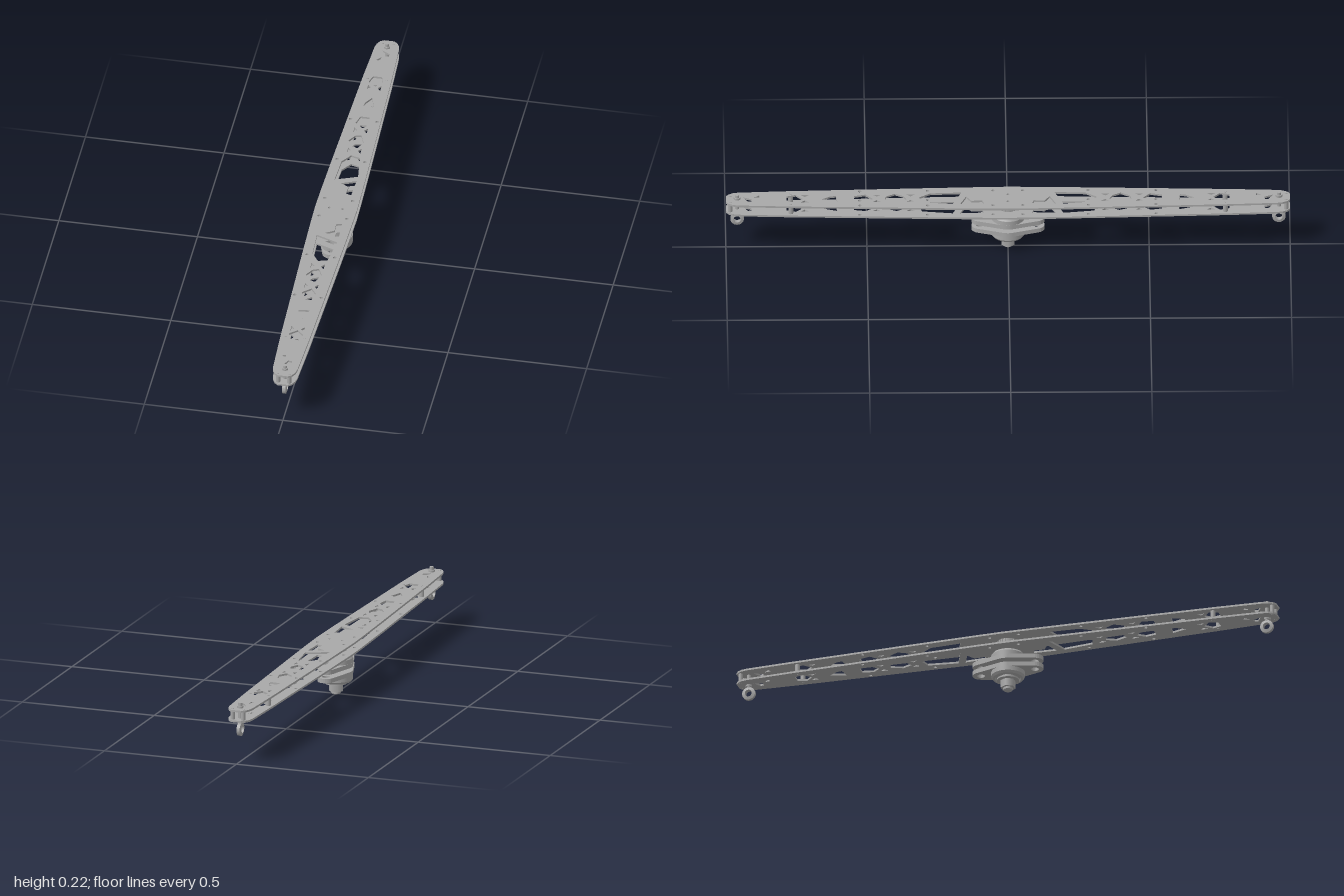
import * as THREE from 'three';

const steel = new THREE.MeshStandardMaterial({ color: 0xa8a8a8 });
steel.name = 'steel';

function add(parent, name, geo, x = 0, y = 0, z = 0) {
  const m = new THREE.Mesh(geo, steel);
  m.name = name;
  m.position.set(x, y, z);
  parent.add(m);
  return m;
}

// upright cylinder between two heights
function post(parent, name, r, y0, y1, x = 0, z = 0, sides = 24, rTop = r) {
  const geo = new THREE.CylinderGeometry(rTop, r, y1 - y0, sides);
  return add(parent, name, geo, x, (y0 + y1) / 2, z);
}

// flat shape drawn in x,z and extruded upward from y0 to y1
function slab(parent, name, shape, y0, y1) {
  const geo = new THREE.ExtrudeGeometry(shape, { depth: y1 - y0, bevelEnabled: false, curveSegments: 10 });
  geo.rotateX(Math.PI / 2);
  return add(parent, name, geo, 0, y1, 0);
}

const polygon = pts => pts.map(([x, z]) => new THREE.Vector2(x, z));
const round = (x, z, r) => new THREE.Path().absarc(x, z, r, 0, Math.PI * 2);

// half outline of the arm, from the middle to one tip
const edge = [[0.075, 0], [0.073, 0.1], [0.068, 0.28], [0.06, 0.53], [0.052, 0.78],
  [0.044, 0.955], [0.04, 0.975], [0.031, 0.991], [0.018, 1]];

// lightening cut-outs on one half
const cutouts = [
  [[-0.01, 0.148], [0.042, 0.17], [0.038, 0.085], [0.018, 0.092], [0.02, 0.13]],
  [[-0.037, 0.165], [0.042, 0.196], [0.028, 0.305], [-0.005, 0.315], [-0.032, 0.275]],
  [[0.008, 0.36], [0.024, 0.395], [0.008, 0.437], [-0.012, 0.432], [-0.031, 0.4], [-0.014, 0.37]],
  [[-0.016, 0.545], [0.016, 0.545], [0.024, 0.505], [0.004, 0.478], [-0.026, 0.505]],
  [[0.004, 0.66], [0.022, 0.605], [-0.018, 0.61], [-0.014, 0.63]],
  [[-0.016, 0.785], [0.016, 0.785], [0.026, 0.752], [0.002, 0.727], [-0.026, 0.752]],
  [[-0.012, 0.94], [0.018, 0.922], [0.016, 0.91], [0.002, 0.908]],
  [[-0.024, 0.882], [-0.008, 0.9], [-0.012, 0.877]],
];
for (const z of [0.345, 0.465, 0.72]) {
  for (const s of [-1, 1]) {
    cutouts.push([[s * 0.012, z], [s * 0.024, z + 0.014], [s * 0.024, z - 0.014]]);
  }
}
const screws = [[0.05, 0.053], [0.05, 0.285], [0.048, 0.525], [0.034, 0.77], [0.02, 0.985]];

function plateShape() {
  const side = edge.concat(edge.slice(1).reverse().map(([x, z]) => [-x, z]));
  const lower = [[-0.075, 0], ...edge.slice(1).map(([x, z]) => [-x, -z]),
    ...edge.slice(1).reverse().map(([x, z]) => [x, -z])];
  const shape = new THREE.Shape(polygon([...side, ...lower]));
  for (const s of [-1, 1]) {
    for (const c of cutouts) shape.holes.push(new THREE.Path(polygon(c.map(([x, z]) => [x, s * z]))));
    for (const [x, z] of screws.slice(0, 3)) {
      for (const t of [-1, 1]) shape.holes.push(round(t * x, s * z, 0.006));
    }
    shape.holes.push(round(s * 0.024, 0, 0.005));
  }
  return shape;
}

// rounded diamond flange with two bolt holes
function flangeShape() {
  const pts = [];
  const arc = (cz, r, a0, a1) => {
    for (let i = 0; i <= 10; i++) {
      const a = a0 + (a1 - a0) * i / 10;
      pts.push([Math.cos(a) * r, cz + Math.sin(a) * r]);
    }
  };
  const t = Math.acos((0.06 - 0.03) / 0.1); // tangent angle between the big and small circles
  arc(0, 0.06, -Math.PI / 2 + t, Math.PI / 2 - t);
  pts.length = 0;
  const b = Math.PI / 2 - t;
  arc(0, 0.06, -b, b);
  arc(0.1, 0.03, b, Math.PI - b);
  arc(0, 0.06, Math.PI - b, Math.PI + b);
  arc(-0.1, 0.03, Math.PI + b, 2 * Math.PI - b);
  const shape = new THREE.Shape(polygon(pts));
  shape.holes.push(round(0, 0.1, 0.014), round(0, -0.1, 0.014));
  return shape;
}

// flange bearing, its flange face at y = 0 and its housing above
function bearing(name) {
  const g = new THREE.Group();
  g.name = name;
  slab(g, 'flange', flangeShape(), 0, 0.016);
  const profile = polygon([[0.06, 0.014], [0.06, 0.032], [0.054, 0.04], [0.046, 0.041]]);
  const inner = polygon([[0.046, 0.041], [0.042, 0.034], [0.028, 0.034]]);
  const lip = polygon([[0.028, 0.034], [0.028, 0.044], [0.018, 0.044]]);
  for (const p of [profile, inner, lip]) {
    for (let i = 1; i < p.length; i++) add(g, 'housing', new THREE.LatheGeometry([p[i - 1], p[i]], 40)).material = steelOpen;
  }
  return g;
}
const steelOpen = steel;
steel.side = THREE.DoubleSide;

export function createModel() {
  const model = new THREE.Group();
  model.name = 'rotorArm';

  // two parallel arm plates
  slab(model, 'lowerPlate', plateShape(), 0.153, 0.16);
  slab(model, 'upperPlate', plateShape(), 0.191, 0.198);

  // toothed hub between the plates
  post(model, 'hub', 0.035, 0.16, 0.191, 0, 0, 32);
  for (let i = 0; i < 20; i++) {
    const a = i / 20 * Math.PI * 2;
    const tooth = add(model, 'hubTooth', new THREE.BoxGeometry(0.006, 0.028, 0.006), Math.cos(a) * 0.035, 0.1755, Math.sin(a) * 0.035);
    tooth.rotation.y = -a;
  }

  for (const s of [-1, 1]) {
    // spacers and their screw heads
    for (const [x, z] of screws.slice(3)) {
      for (const t of [-1, 1]) {
        post(model, 'spacer', z > 0.9 ? 0.008 : 0.009, 0.16, 0.191, t * x, s * z, 12);
        post(model, 'screw', 0.005, 0.152, 0.1995, t * x, s * z, 12);
      }
    }

    // hanging eye bolt near the tip
    const eye = new THREE.Group();
    eye.name = 'eyeBolt';
    eye.position.set(0, 0, s * 0.96);
    model.add(eye);
    post(eye, 'stud', 0.0075, 0.135, 0.216, 0, 0, 16);
    for (const y of [0.146, 0.198]) post(eye, 'nut', 0.012, y, y + 0.007, 0, 0, 6);
    const ring = polygon([[0.013, -0.009], [0.024, -0.006], [0.024, 0.006], [0.013, 0.009], [0.013, -0.009]]);
    const ringMesh = add(eye, 'eye', new THREE.LatheGeometry(ring, 28).toNonIndexed(), 0, 0.119, 0);
    ringMesh.geometry.computeVertexNormals();
    ringMesh.rotation.z = Math.PI / 2;
  }

  // back-to-back flange bearings
  const upper = bearing('upperBearing');
  upper.position.y = 0.102;
  const lower = bearing('lowerBearing');
  lower.position.y = 0.087;
  lower.rotation.x = Math.PI;
  model.add(upper, lower);

  // shaft, washers and nut
  post(model, 'shaft', 0.017, 0.003, 0.16);
  post(model, 'shaftTip', 0.013, 0, 0.003, 0, 0, 24, 0.017);
  post(model, 'upperWasher', 0.04, 0.143, 0.149, 0, 0, 32);
  post(model, 'shaftCollar', 0.022, 0.149, 0.153);
  post(model, 'lowerWasher', 0.04, 0.039, 0.045, 0, 0, 32);
  post(model, 'shaftNut', 0.027, 0.011, 0.039, 0, 0, 6).rotation.y = Math.PI / 6;

  return model;
}
